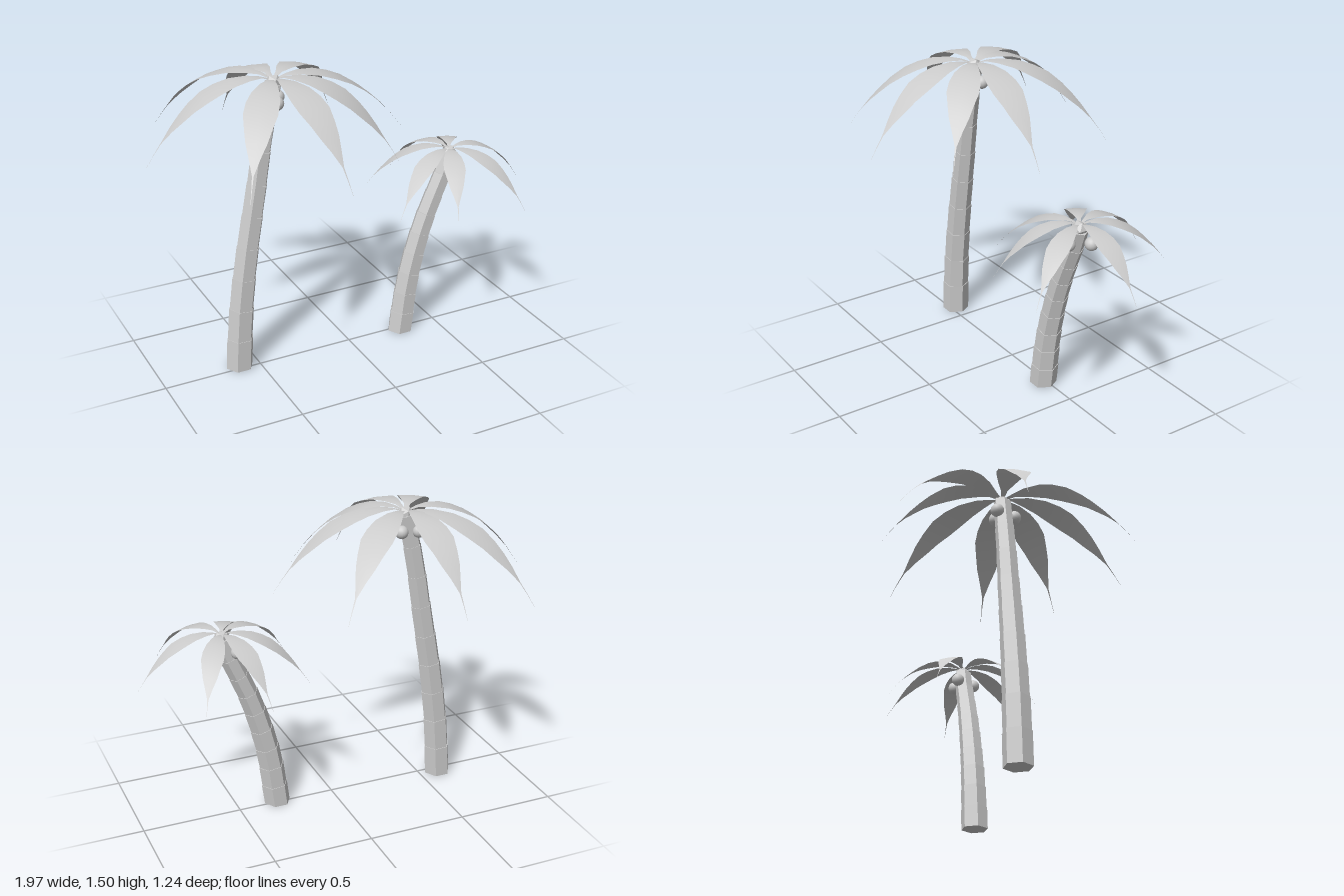
import * as THREE from 'three';

const grey = new THREE.MeshStandardMaterial({ color: 0xcccccc, side: THREE.DoubleSide });
grey.name = 'plain grey';

function mesh(name, geometry) {
  const m = new THREE.Mesh(geometry, grey);
  m.name = name;
  return m;
}

function gridGeometry(points, index) {
  const g = new THREE.BufferGeometry();
  g.setAttribute('position', new THREE.Float32BufferAttribute(points, 3));
  g.setIndex(index);
  return g;
}

// Bent six-sided trunk made of stacked segments with a tiny lip at each joint
function trunk(path, z, r0, r1, segments) {
  const curve = new THREE.CatmullRomCurve3(path.map(([x, y]) => new THREE.Vector3(x, y, z)));
  const points = [], index = [];
  const rings = [[0, 0.001]];
  for (let s = 0; s < segments; s++) {
    rings.push([s / segments, 1], [(s + 1) / segments, 1.05]);
  }
  rings.push([1, 0.001]);
  rings.forEach(([t, k]) => {
    const c = curve.getPointAt(t), d = curve.getTangentAt(t);
    const tilt = Math.min(1, t * 6);              // the foot stays level
    const lean = Math.atan2(d.x, d.y) * tilt;
    const r = THREE.MathUtils.lerp(r0, r1, t) * k;
    for (let i = 0; i < 6; i++) {
      const a = i * Math.PI / 3, u = r * Math.cos(a);
      points.push(c.x + u * Math.cos(lean), c.y - u * Math.sin(lean), c.z + r * Math.sin(a));
    }
  });
  for (let j = 0; j < rings.length - 1; j++) {
    for (let i = 0; i < 6; i++) {
      const a = j * 6 + i, b = j * 6 + (i + 1) % 6;
      index.push(a, a + 6, b, b, a + 6, b + 6);
    }
  }
  const g = gridGeometry(points, index).toNonIndexed();
  g.computeVertexNormals();
  return mesh('trunk', g);
}

// Frond stations: distance out, height, half width
const frond = [
  [0.015, -0.02, 0.008], [0.06, -0.005, 0.016], [0.12, 0, 0.04], [0.2, -0.008, 0.063],
  [0.27, -0.03, 0.076], [0.335, -0.06, 0.078], [0.4, -0.105, 0.062], [0.45, -0.15, 0.048],
  [0.5, -0.2, 0.026], [0.55, -0.26, 0.004], [0.59, -0.315, 0.0015], [0.625, -0.37, 0.0005],
];

function leaf(length, size) {
  const points = [], index = [];
  frond.forEach(([d, h, w], j) => {
    for (const s of [-1, 0, 1]) {
      points.push(d * length, (h - Math.abs(s) * w * 0.08) * size, s * w * size);
    }
    if (j === 0) return;
    for (let i = 0; i < 2; i++) {
      const a = (j - 1) * 3 + i, b = a + 3;
      index.push(a, a + 1, b, b, a + 1, b + 1);
    }
  });
  const g = gridGeometry(points, index);
  g.computeVertexNormals();
  return mesh('leaf', g);
}

function palm(o) {
  const tree = new THREE.Group();
  tree.name = o.name;
  tree.add(trunk(o.path, o.crown[2], o.r0, o.r1, o.segments));

  // Fronds fan out from the crown toward their tips
  const leaves = new THREE.Group();
  leaves.name = 'leaves';
  o.tips.forEach(([x, z]) => {
    const dx = x - o.crown[0], dz = z - o.crown[2];
    const l = leaf(Math.hypot(dx, dz) / 0.555, o.size);
    l.position.set(...o.crown);
    l.rotation.y = -Math.atan2(dz, dx);
    leaves.add(l);
  });
  tree.add(leaves);

  // Small faceted bud where the fronds meet
  const bud = mesh('bud', new THREE.IcosahedronGeometry(o.r1 * 0.95, 0));
  bud.position.set(o.crown[0], o.crown[1] - o.r1 * 0.9, o.crown[2]);
  tree.add(bud);

  // Round fruit hanging around the trunk top
  o.nuts.forEach(([x, y, z]) => {
    const n = mesh('coconut', new THREE.SphereGeometry(0.033, 16, 12));
    n.position.set(x, y, z);
    tree.add(n);
  });
  return tree;
}

export function createModel() {
  const group = new THREE.Group();
  group.name = 'palmTrees';
  group.add(palm({
    name: 'tallPalm',
    path: [[-0.6, 0], [-0.58, 0.3], [-0.54, 0.6], [-0.476, 0.96], [-0.435, 1.2], [-0.378, 1.46]],
    r0: 0.069, r1: 0.042, segments: 9, size: 1,
    crown: [-0.375, 1.5, -0.03],
    tips: [[-0.72, -0.55], [-0.4, -0.56], [0.065, -0.43], [0.21, 0.03],
      [0.02, 0.33], [-0.3, 0.54], [-0.69, 0.45], [-0.92, -0.08]],
    nuts: [[-0.385, 1.38, 0.03], [-0.345, 1.38, -0.055], [-0.43, 1.38, -0.07]],
  }));
  group.add(palm({
    name: 'shortPalm',
    path: [[0.295, 0], [0.337, 0.3], [0.42, 0.6], [0.533, 0.87], [0.56, 0.95]],
    r0: 0.067, r1: 0.043, segments: 9, size: 0.68,
    crown: [0.56, 0.99, 0.013],
    tips: [[0.47, -0.365], [0.74, -0.32], [0.935, 0.015], [0.75, 0.36],
      [0.42, 0.34], [0.21, 0.2], [0.235, -0.19]],
    nuts: [[0.556, 0.887, 0.07], [0.61, 0.887, -0.02], [0.495, 0.887, -0.03]],
  }));
  return group;
}
